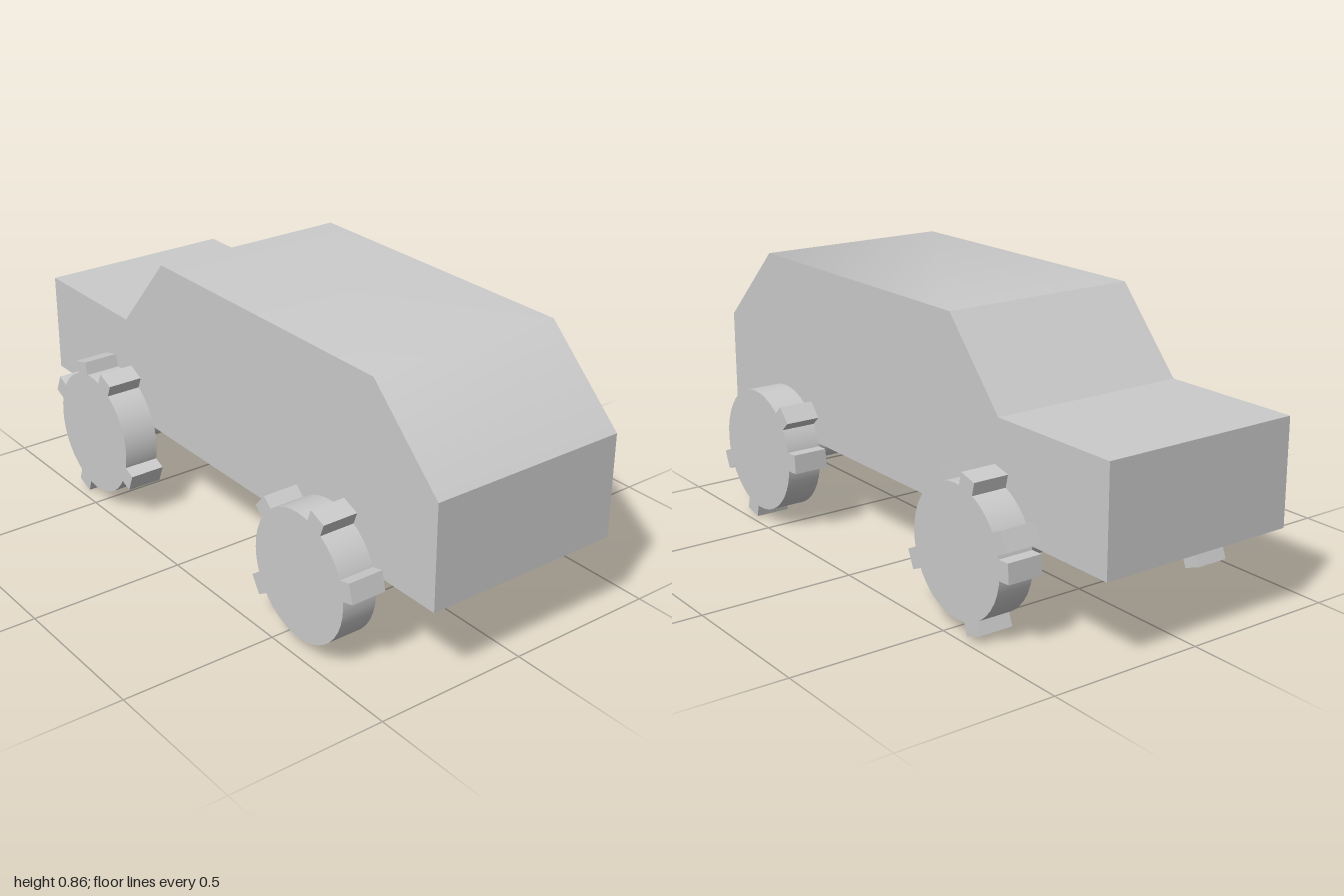
import * as THREE from 'three';
import { toCreasedNormals } from 'three/addons/utils/BufferGeometryUtils.js';

const AXLE_Y = 0.243;
const WHEEL_X = 0.418, WHEEL_WIDTH = 0.115, WHEEL_RADIUS = 0.203;
const TREAD_RADIUS = 0.242, TREAD_WIDTH = 0.062;

const material = new THREE.MeshStandardMaterial({ color: 0xcccccc });

function part(geometry, name) {
  const mesh = new THREE.Mesh(geometry, material);
  mesh.name = name;
  return mesh;
}

// Cylinder lying along x
function crossCylinder(radius, length, sides) {
  return new THREE.CylinderGeometry(radius, radius, length, sides).rotateZ(Math.PI / 2);
}

// Disc wheel with unevenly spaced tread blocks; angles run from the rear upwards
function makeWheel(name, angles) {
  const wheel = new THREE.Group();
  wheel.name = name;
  wheel.add(part(crossCylinder(WHEEL_RADIUS, WHEEL_WIDTH, 40), 'wheelDisc'));
  const inner = WHEEL_RADIUS - 0.03;
  const block = new THREE.BoxGeometry(WHEEL_WIDTH, TREAD_RADIUS - inner, TREAD_WIDTH)
    .translate(0, (TREAD_RADIUS + inner) / 2, 0);
  for (const angle of angles) {
    const tread = part(block, 'treadBlock');
    tread.rotation.x = THREE.MathUtils.degToRad(angle - 90);
    wheel.add(tread);
  }
  return wheel;
}

export function createModel() {
  const model = new THREE.Group();
  model.name = 'car';

  // Body: side profile (z, y) extruded across the width
  const profile = [
    [1, 0.275], [1, 0.608], [0.73, 0.865], [-0.3, 0.865],
    [-0.53, 0.608], [-1, 0.608], [-1, 0.275],
  ].map(([z, y]) => new THREE.Vector2(z, y));
  const body = new THREE.ExtrudeGeometry(new THREE.Shape(profile), { depth: 0.66, bevelEnabled: false })
    .translate(0, 0, -0.33)
    .rotateY(-Math.PI / 2);
  model.add(part(toCreasedNormals(body, 0.8), 'body'));

  // Axles, each with a right and a left wheel
  const axles = [
    { name: 'front', z: 0.593, right: [42, 111, 166, 328], left: [3, 42, 203, 257] },
    { name: 'rear', z: -0.527, right: [24, 76, 113, 203, 290], left: [3, 24, 76, 113, 203, 290] },
  ];
  for (const { name, z, right, left } of axles) {
    const axle = part(crossCylinder(0.065, 2 * WHEEL_X, 32), name + 'Axle');
    axle.position.set(0, AXLE_Y - 0.003, z);
    model.add(axle);
    const rightWheel = makeWheel(name + 'RightWheel', right);
    rightWheel.position.set(-WHEEL_X, AXLE_Y, z);
    const leftWheel = makeWheel(name + 'LeftWheel', left);
    leftWheel.position.set(WHEEL_X, AXLE_Y, z);
    model.add(rightWheel, leftWheel);
  }
  return model;
}
